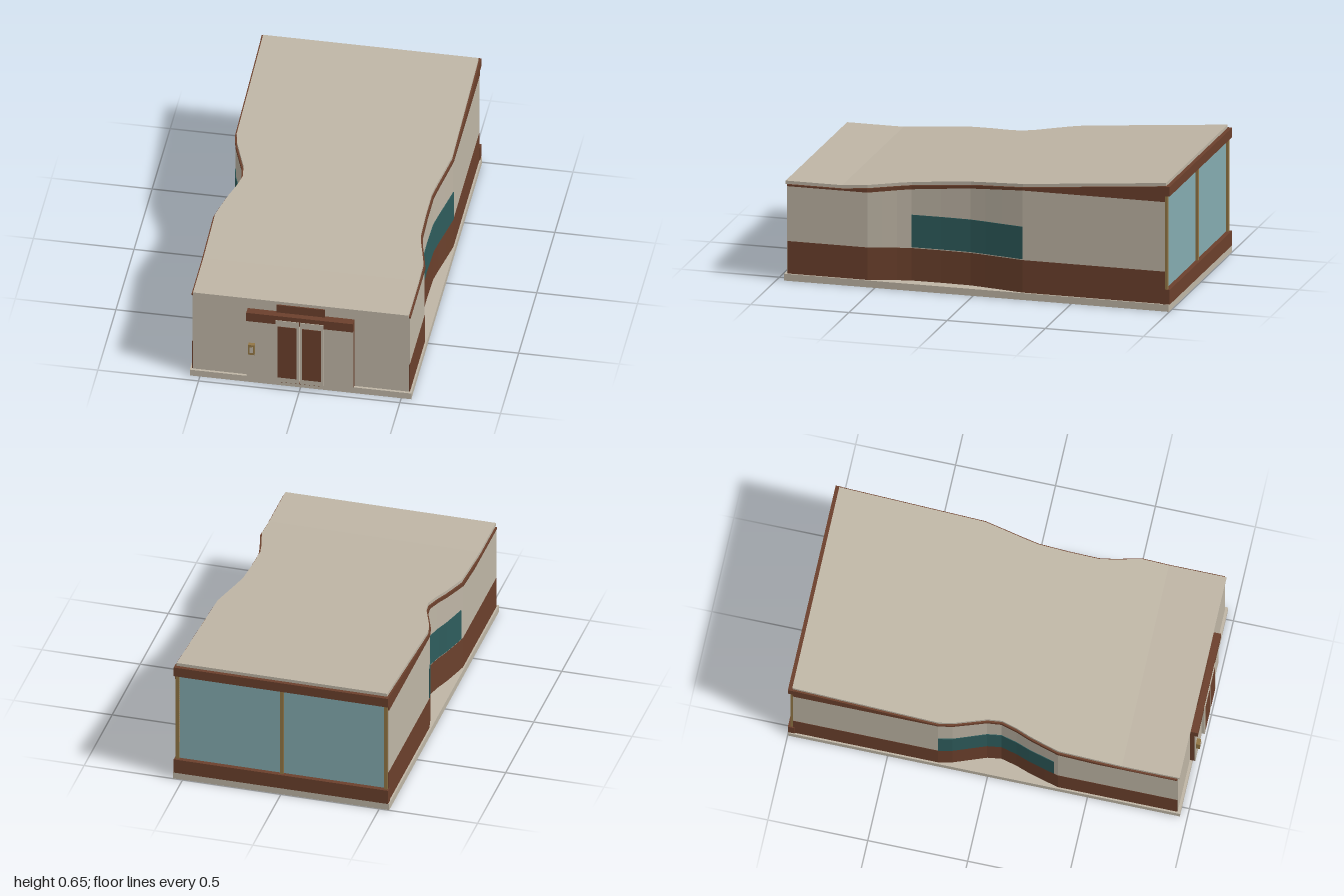
import * as THREE from 'three';

const material = (name, color) => {
  const m = new THREE.MeshStandardMaterial({ color });
  m.name = name;
  return m;
};

// Half-width of each long wall along z, as [z, x] from front to back
const LEFT = [[0.96, 0.54], [0.54, 0.54], [0.47, 0.522], [0.4, 0.503], [0.33, 0.489], [0.18, 0.487],
  [0.03, 0.49], [-0.05, 0.503], [-0.14, 0.52], [-0.25, 0.54], [-1, 0.54]];
const RIGHT = [[0.96, 0.54], [0.35, 0.54], [0.28, 0.522], [0.2, 0.5], [0.13, 0.475], [0.05, 0.455],
  [-0.02, 0.465], [-0.1, 0.495], [-0.18, 0.525], [-0.25, 0.54], [-1, 0.54]];
const ROOF = [[1, 0.505], [0.67, 0.505], [-0.98, 0.65]];
const WALL_TOP = [[1, 0.48], [0.54, 0.48], [-0.25, 0.555], [-1, 0.555]];

// Linear interpolation in a table whose z values descend
function at(table, z) {
  for (let i = 1; i < table.length; i++) {
    const [z0, v0] = table[i - 1], [z1, v1] = table[i];
    if (z >= z1) return v0 + (v1 - v0) * (z0 - z) / (z0 - z1);
  }
  return table[table.length - 1][1];
}

// Solid through rectangular sections: section(z) gives [xMin, xMax, yMin, yMax]
function loft(front, back, section) {
  const knots = [...LEFT, ...RIGHT, ...ROOF].map(p => p[0]).filter(z => z < front && z > back);
  const zs = [...new Set([front, ...knots, back])].sort((a, b) => b - a);
  const rings = zs.map(z => {
    const [l, r, b, t] = section(z);
    return [[l, b, z], [r, b, z], [r, t, z], [l, t, z]];
  });
  const pos = [];
  const quad = (a, b, c, d) => pos.push(...a, ...b, ...c, ...a, ...c, ...d);
  for (let i = 0; i + 1 < rings.length; i++) {
    const f = rings[i], k = rings[i + 1];
    for (let j = 0; j < 4; j++) {
      const n = (j + 1) % 4;
      quad(f[j], k[j], k[n], f[n]);
    }
  }
  quad(...rings[0]);
  quad(...rings[rings.length - 1].slice().reverse());
  const g = new THREE.BufferGeometry();
  g.setAttribute('position', new THREE.Float32BufferAttribute(pos, 3));
  g.computeVertexNormals();
  return g;
}

export function createModel() {
  const root = new THREE.Group();
  root.name = 'building';
  const beige = material('beige plaster', 0xbeb5a5);
  const brown = material('brown cladding', 0x6b402c);
  const teal = material('dark teal glass', 0x2e5c5c);
  const glass = material('pale blue glass', 0x84abb0);
  const gold = material('bronze metal', 0x927645);

  const add = (name, geometry, mat, parent = root) => {
    const m = new THREE.Mesh(geometry, mat);
    m.name = name;
    parent.add(m);
    return m;
  };
  // Box given by its limits
  const box = (name, mat, x0, x1, y0, y1, z0, z1, parent = root) => {
    const m = add(name, new THREE.BoxGeometry(x1 - x0, y1 - y0, z1 - z0), mat, parent);
    m.position.set((x0 + x1) / 2, (y0 + y1) / 2, (z0 + z1) / 2);
    return m;
  };

  box('base', beige, -0.55, 0.55, 0, 0.035, -0.997, 0.963);

  // Roof slab, pinched over the curved walls
  const underside = z => at(ROOF, z) - 0.017;
  add('roof', loft(0.958, -0.98, z =>
    [-at(RIGHT, z) + 0.005, at(LEFT, z) - 0.005, underside(z), at(ROOF, z)]), beige);

  // Long curved side walls in layers
  for (const [side, path, s] of [['left', LEFT, 1], ['right', RIGHT, -1]]) {
    const wall = new THREE.Group();
    wall.name = side + 'Wall';
    root.add(wall);
    const layer = (name, mat, front, back, out, bottom, top) =>
      add(name, loft(front, back, z => {
        const x = at(path, z) + out, inner = x - 0.02;
        return [s > 0 ? inner : -x, s > 0 ? x : -inner, bottom(z), top(z)];
      }), mat, wall);
    layer('lowerCladding', brown, 0.948, -0.976, 0.001, () => 0.035, () => 0.2);
    layer('upperWall', beige, 0.948, -0.976, 0, () => 0.2, z => at(WALL_TOP, z));
    layer('roofTrim', brown, 0.948, -0.976, 0.004, z => at(WALL_TOP, z), z => underside(z) + 0.001);
    layer('curvedWindow', teal, 0.33, -0.25, 0.003, () => 0.205, () => 0.37);
  }

  // Front wall and entrance
  box('frontWall', beige, -0.536, 0.536, 0.035, 0.489, 0.93, 0.95);
  const entrance = new THREE.Group();
  entrance.name = 'entrance';
  root.add(entrance);
  box('entranceBeam', brown, -0.265, 0.265, 0.39, 0.44, 0.945, 0.99, entrance);
  box('entranceHeader', brown, -0.12, 0.12, 0.44, 0.485, 0.945, 0.96, entrance);
  box('threshold', brown, -0.1, 0.1, 0.035, 0.042, 0.95, 0.985, entrance);
  for (const s of [-1, 1]) {
    const span = (name, mat, a, b, ...rest) =>
      box(name, mat, Math.min(s * a, s * b), Math.max(s * a, s * b), ...rest, entrance);
    span('sidePanelCore', brown, 0.12, 0.265, 0.036, 0.39, 0.945, 0.974);
    span('sidePanelFace', beige, 0.12, 0.265, 0.036, 0.39, 0.974, 0.978);
    span('door', beige, 0.002, 0.12, 0.042, 0.415, 0.955, 0.993);
    span('doorInset', brown, 0.014, 0.108, 0.07, 0.38, 0.991, 0.995);
  }
  box('entryPanel', gold, -0.255, -0.223, 0.192, 0.251, 0.975, 0.998, entrance);
  box('entryPanelScreen', beige, -0.248, -0.23, 0.205, 0.238, 0.997, 1, entrance);

  // Glazed back
  const back = new THREE.Group();
  back.name = 'glazedBack';
  root.add(back);
  box('backGlass', glass, -0.525, 0.525, 0.1, 0.595, -0.976, -0.966, back);
  box('lowerBeam', brown, -0.545, 0.545, 0.035, 0.11, -1, -0.966, back);
  box('upperBeam', brown, -0.545, 0.545, 0.585, 0.634, -1, -0.966, back);
  for (const x of [-0.53, 0, 0.53])
    box('mullion', gold, x - 0.009, x + 0.009, 0.11, 0.585, -0.988, -0.966, back);

  return root;
}
